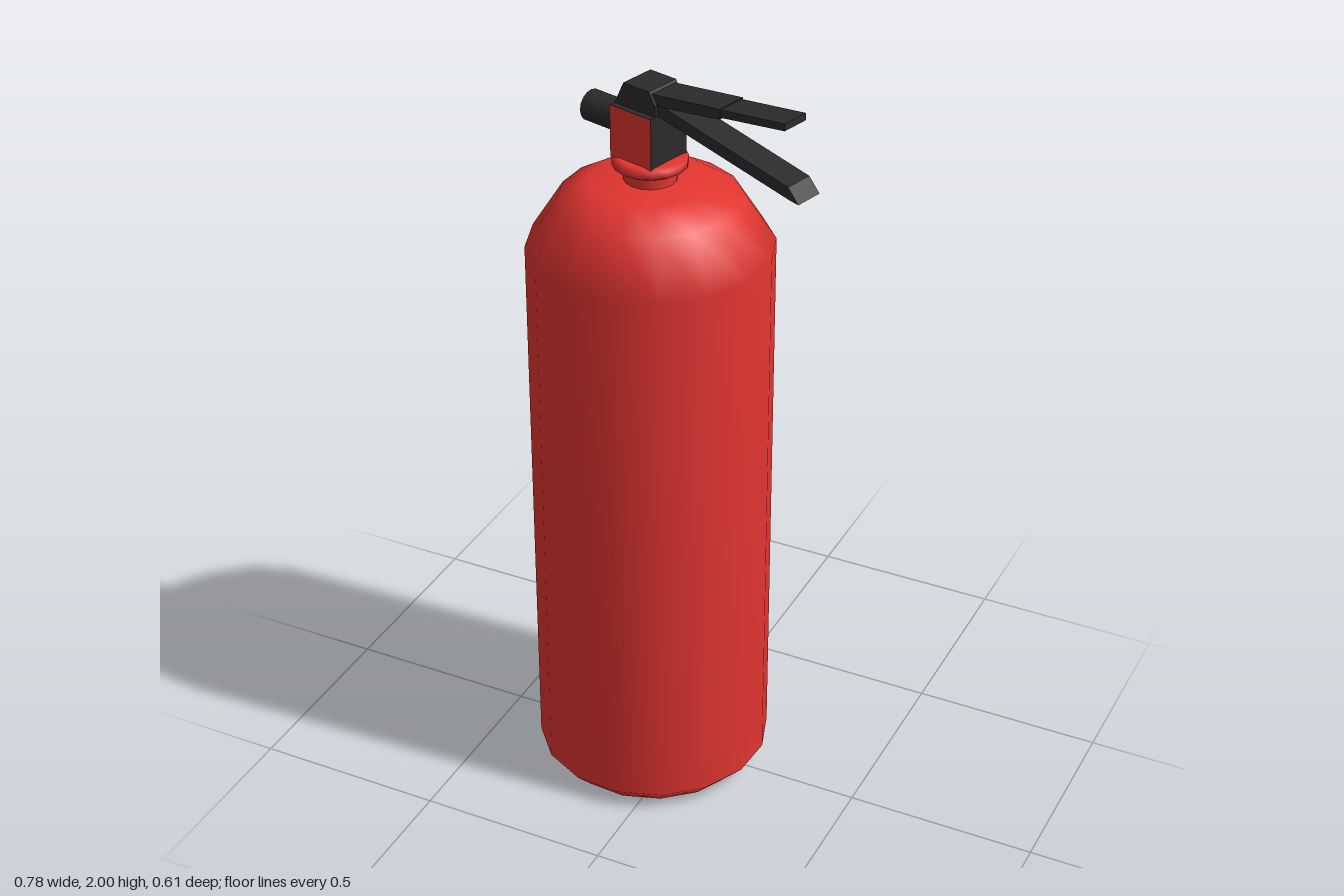
import * as THREE from 'three';

const red = new THREE.MeshStandardMaterial({ color: 0xe23530 });
const black = new THREE.MeshStandardMaterial({ color: 0x2c2b2b });

function add(parent, name, geometry, material, x = 0, y = 0, z = 0) {
  const mesh = new THREE.Mesh(geometry, material);
  mesh.name = name;
  mesh.position.set(x, y, z);
  parent.add(mesh);
  return mesh;
}

const lathe = (points, sides) =>
  new THREE.LatheGeometry(points.map(([r, y]) => new THREE.Vector2(r, y)), sides);

// side outline in x/y, extruded to a width centred on z = 0
function slab(points, width) {
  const shape = new THREE.Shape(points.map(([x, y]) => new THREE.Vector2(x, y)));
  return new THREE.ExtrudeGeometry(shape, { depth: width, bevelEnabled: false }).translate(0, 0, -width / 2);
}

export function createModel() {
  const model = new THREE.Group();
  model.name = 'fireExtinguisher';
  model.position.x = -0.085;
  model.rotation.y = -Math.PI / 12;
  const root = new THREE.Group();
  root.add(model);

  // tank: chamfered foot, straight wall, rounded shoulder
  add(model, 'tank', lathe([
    [0, 0], [0.26, 0], [0.307, 0.05], [0.307, 1.53], [0.225, 1.66], [0.15, 1.705], [0, 1.708],
  ], 16), red);

  // neck and collar
  add(model, 'neck', new THREE.CylinderGeometry(0.066, 0.066, 0.04, 16), red, 0, 1.722);
  add(model, 'collar', lathe([
    [0, 1.735], [0.075, 1.735], [0.093, 1.746], [0.093, 1.764], [0.08, 1.77], [0, 1.772],
  ], 16), red);

  // valve block with its coloured front face
  add(model, 'valveBlock', new THREE.BoxGeometry(0.128, 0.135, 0.128), black, -0.005, 1.8325);
  add(model, 'valveFrontPlate', new THREE.PlaneGeometry(0.128, 0.135), red, -0.005, 1.8325, 0.0655);

  // side outlet
  const outlet = add(model, 'outlet', new THREE.CylinderGeometry(0.04, 0.04, 0.14, 16), black, -0.119, 1.84);
  outlet.rotation.z = Math.PI / 2;

  // hinge housing
  add(model, 'hinge', slab([[-0.069, 1.9], [0.058, 1.9], [0.058, 1.93], [0.04, 1.96], [-0.04, 1.96]], 0.096), black);

  // squeeze lever, stepped in width
  add(model, 'upperLeverBase', slab([[0.03, 1.922], [0.25, 1.953], [0.25, 1.979], [0.03, 1.952]], 0.084), black);
  add(model, 'upperLeverGrip', slab([[0.24, 1.955], [0.438, 1.982], [0.438, 2], [0.24, 1.975]], 0.076), black);

  // carrying handle with a slanted tip
  add(model, 'lowerHandle', slab([[0.03, 1.906], [0.455, 1.815], [0.483, 1.811], [0.452, 1.846], [0.03, 1.938]], 0.077), black);

  return root;
}
